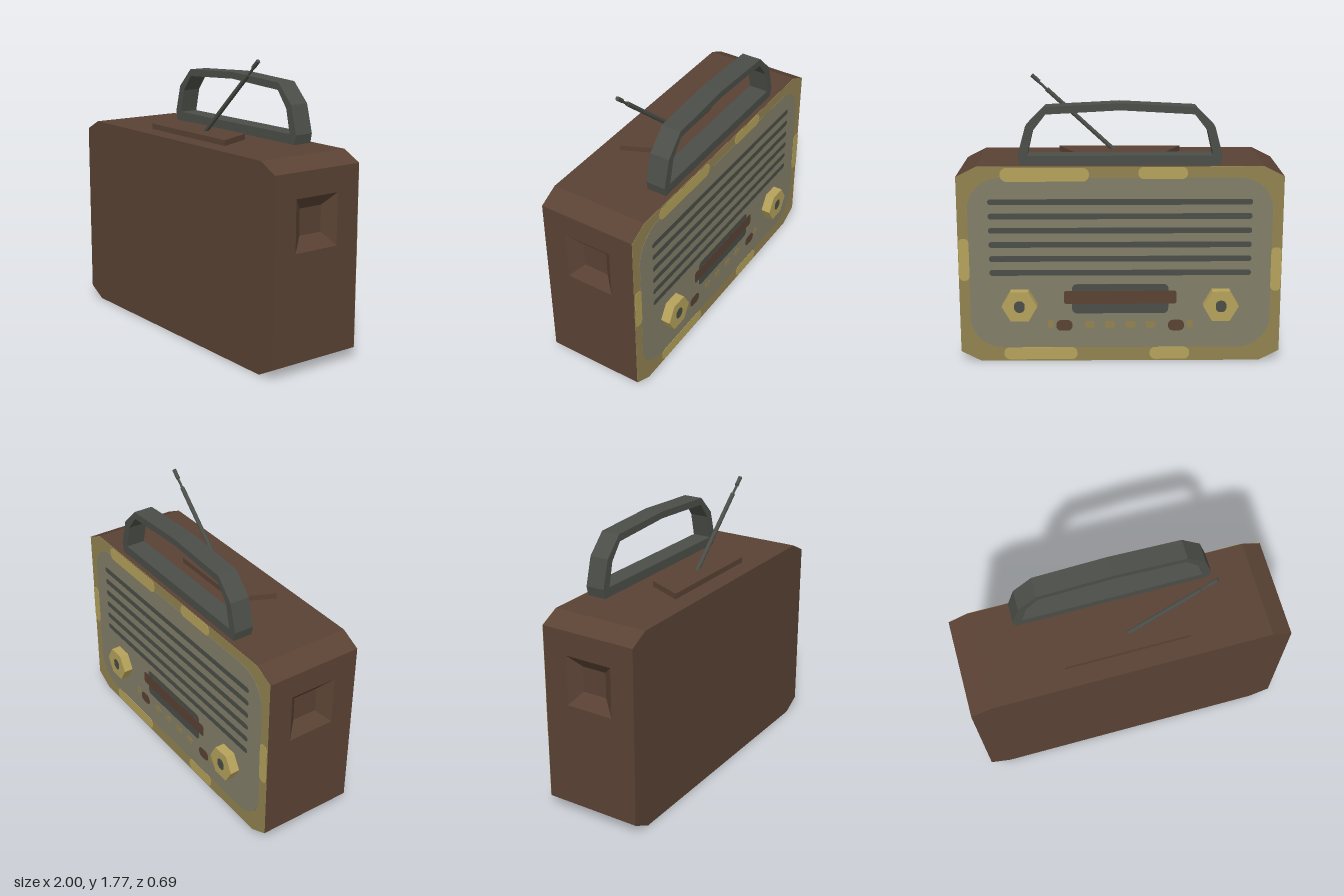
import * as THREE from 'three';

const material = (name, color) => Object.assign(new THREE.MeshStandardMaterial({ color }), { name });

// Outline of the case, counter-clockwise, with clipped corners
const OUTLINE = [[-0.875, 0], [0.875, 0], [1, 0.065], [1, 1.187], [0.875, 1.25], [-0.875, 1.25], [-1, 1.187], [-1, 0.065]];
const FRONT = 0.345, BACK = -0.28;

const shapeOf = (pts) => new THREE.Shape(pts.map(([x, y]) => new THREE.Vector2(x, y)));
const extrude = (shape, depth) =>
  new THREE.ExtrudeGeometry(shape, { depth, bevelEnabled: false, curveSegments: 5 });
const faceted = (geometry) => {
  const g = geometry.toNonIndexed();
  g.computeVertexNormals();
  return g;
};

// Rounded rectangle given by centre, size and corner radius
function roundRect(cx, cy, w, h, r) {
  const s = new THREE.Shape(), x = w / 2 - r, y = h / 2 - r;
  s.absarc(cx + x, cy + y, r, 0, Math.PI / 2);
  s.absarc(cx - x, cy + y, r, Math.PI / 2, Math.PI);
  s.absarc(cx - x, cy - y, r, Math.PI, Math.PI * 1.5);
  s.absarc(cx + x, cy - y, r, Math.PI * 1.5, Math.PI * 2);
  s.closePath();
  return s;
}

// Case: clipped box with a tapered finger recess in each end
function caseGeometry() {
  const pos = [];
  const quad = (a, b, c, d) => pos.push(...a, ...b, ...c, ...a, ...c, ...d);
  const n = OUTLINE.length;
  OUTLINE.forEach(([x, y], i) => {
    const [u, v] = OUTLINE[(i + 1) % n];
    const [x0, y0] = OUTLINE[0];
    if (x !== u || Math.abs(x) !== 1) quad([x, y, FRONT], [x, y, BACK], [u, v, BACK], [u, v, FRONT]);
    if (i > 0 && i < n - 1) {
      pos.push(x0, y0, FRONT, x, y, FRONT, u, v, FRONT);
      pos.push(x0, y0, BACK, u, v, BACK, x, y, BACK);
    }
  });
  // Nested rectangles: end face, recess mouth, recess floor
  const rings = [[BACK, FRONT, 0.065, 1.187, 1], [-0.12, 0.19, 0.72, 1.035, 1], [-0.05, 0.11, 0.8, 0.96, 0.937]];
  for (const side of [1, -1]) {
    const face = (...c) => quad(...(side > 0 ? c : c.reverse()));
    const loops = rings.map(([z0, z1, y0, y1, x]) =>
      [[z1, y0], [z0, y0], [z0, y1], [z1, y1]].map(([z, y]) => [side * x, y, z]));
    for (let k = 0; k < 2; k++) {
      const a = loops[k], b = loops[k + 1];
      for (let i = 0; i < 4; i++) face(a[i], a[(i + 1) % 4], b[(i + 1) % 4], b[i]);
    }
    face(...loops[2]);
  }
  const g = new THREE.BufferGeometry();
  g.setAttribute('position', new THREE.Float32BufferAttribute(pos, 3));
  g.computeVertexNormals();
  return g;
}

export function createModel() {
  const model = new THREE.Group();
  model.name = 'portableRadio';
  const brown = material('brown', 0x5a4234);
  const grey = material('darkGrey', 0x4b4e48);
  const gold = material('gold', 0xb5a25a);
  const olive = material('dullGold', 0x928350);
  const panel = material('panelGrey', 0x837e69);

  const add = (name, geometry, mat, parent = model) => {
    const mesh = new THREE.Mesh(geometry, mat);
    mesh.name = name;
    parent.add(mesh);
    return mesh;
  };

  add('case', caseGeometry(), brown);

  // Carrying handle
  const half = (pts) => [...pts, ...pts.slice(0, -1).reverse().map(([x, y]) => [-x, y])];
  const handle = shapeOf(half([[0.61, 1.25], [0.623, 1.31], [0.575, 1.485], [0.455, 1.607], [0, 1.63]]));
  handle.holes.push(shapeOf(half([[0.565, 1.31], [0.53, 1.46], [0.45, 1.562], [0, 1.587]])));
  add('handle', extrude(handle, 0.125), grey).position.z = -0.25;

  // Aerial on its raised plate
  const plateShape = shapeOf([[-0.39, -0.225], [0.39, -0.225], [0.28, 0.01], [-0.28, 0.01]]);
  add('aerialPlate', extrude(plateShape, 0.035).rotateX(-Math.PI / 2), brown).position.y = 1.25;
  const aerial = new THREE.Group();
  aerial.name = 'aerial';
  model.add(aerial);
  const rod = (name, x0, y0, x1, y1, r) => {
    const a = new THREE.Vector3(x0, y0, 0.108), b = new THREE.Vector3(x1, y1, 0.108);
    const m = add(name, faceted(new THREE.CylinderGeometry(r, r, a.distanceTo(b), 8)), grey, aerial);
    m.position.copy(a).add(b).multiplyScalar(0.5);
    m.quaternion.setFromUnitVectors(new THREE.Vector3(0, 1, 0), b.sub(a).normalize());
  };
  rod('aerialLower', 0.02, 1.265, 0.46, 1.67, 0.014);
  rod('aerialUpper', 0.45, 1.66, 0.52, 1.725, 0.008);
  rod('aerialTip', 0.505, 1.715, 0.552, 1.757, 0.013);

  // Painted face on the back, in thin layers
  const face = new THREE.Group();
  face.name = 'dialFace';
  model.add(face);
  const paint = (name, shape, mat, layer) => {
    add(name, extrude(shape, 0.002), mat, face).position.z = BACK - 0.002 * layer;
  };
  paint('faceBorder', shapeOf(OUTLINE), olive, 1);
  paint('facePanel', roundRect(0, 0.635, 1.87, 1.09, 0.2), panel, 2);

  // Worn bright patches along the border: centre x, y, width, height
  const patches = [[0.46, 1.2, 0.54, 0.085], [-0.26, 1.21, 0.3, 0.075], [0.965, 0.665, 0.065, 0.27],
    [-0.965, 0.6, 0.065, 0.28], [0.5, 0.05, 0.46, 0.08], [-0.31, 0.05, 0.25, 0.08]];
  for (const [x, y, w, h] of patches) paint('wornPatch', roundRect(x, y, w, h, Math.min(w, h) * 0.45), gold, 3);

  // Speaker slots
  for (let i = 0; i < 6; i++) paint('speakerSlot', roundRect(0, 1.03 - 0.09 * i, 1.62, 0.036, 0.016), grey, 3);

  // Tuning display
  paint('displayFrame', roundRect(0, 0.41, 0.6, 0.19, 0.03), grey, 3);
  paint('displayBand', roundRect(0, 0.42, 0.7, 0.085, 0.015), brown, 4);

  // Push buttons
  for (const s of [1, -1]) {
    paint('endButton', roundRect(s * 0.35, 0.235, 0.1, 0.07, 0.03), brown, 3);
    paint('smallLamp', roundRect(s * 0.435, 0.245, 0.04, 0.055, 0.018), olive, 3);
    for (const x of [0.065, 0.19]) paint('pushButton', roundRect(s * x, 0.24, 0.065, 0.045, 0.018), olive, 3);
  }

  // Hexagonal knobs with dark centres
  for (const s of [1, -1]) {
    const hex = faceted(new THREE.CylinderGeometry(0.11, 0.11, 0.065, 6).rotateY(Math.PI / 2).rotateX(Math.PI / 2));
    add('knob', hex, gold).position.set(s * 0.624, 0.378, -0.3125);
    add('knobCentre', extrude(roundRect(s * 0.624, 0.378, 0.065, 0.075, 0.03), 0.002), grey).position.z = -0.346;
  }
  return model;
}
